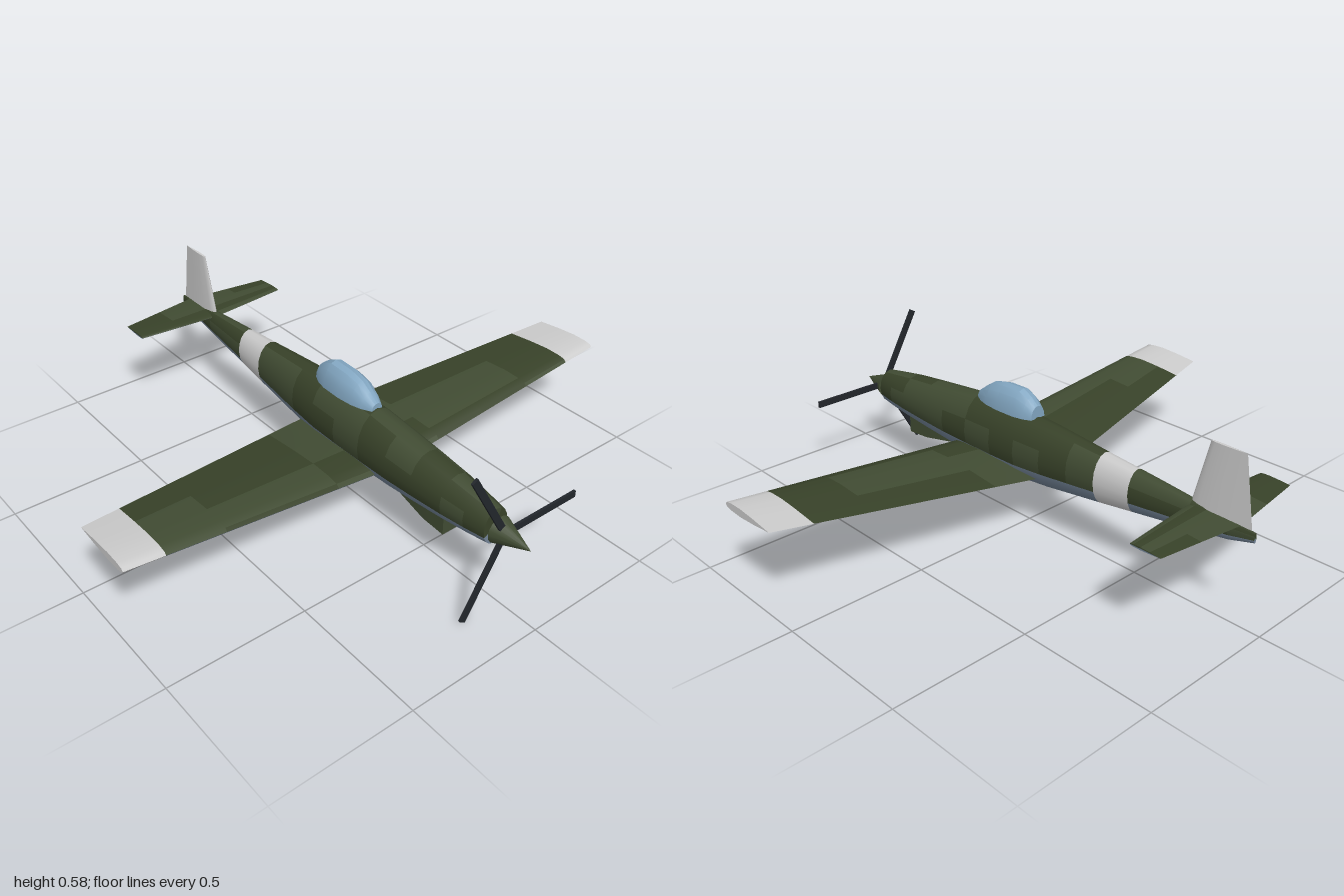
import * as THREE from 'three';
import { toCreasedNormals } from 'three/addons/utils/BufferGeometryUtils.js';

const PALETTE = [0x414c33, 0x384229, 0x728396, 0xd2d2d2];
const GREEN = 0, DARK = 1, BELLY = 2, WHITE = 3;

const paint = (color, extra = {}) => new THREE.MeshStandardMaterial({ color, ...extra });

// Repeatable choice between the two camouflage greens
function camo(a, b) {
  const s = Math.sin(a * 12.99 + b * 78.23) * 4375.85;
  return s - Math.floor(s) > 0.5 ? GREEN : DARK;
}

// Skins closed rings of points; colorOf(i, j) picks the paint of each panel, caps close both ends
function loft(name, rings, materials, colorOf = () => 0, crease = 0.7) {
  const n = rings[0].length, last = rings.length - 1;
  const points = rings.flat();
  const buckets = materials.map(() => []);
  for (let i = 0; i < last; i++) {
    for (let j = 0; j < n; j++) {
      const a = i * n + j, b = i * n + (j + 1) % n;
      buckets[colorOf(i, j)].push(a, a + n, b, b, a + n, b + n);
    }
  }
  for (const i of [0, last]) {
    const c = points.length;
    const mid = rings[i].reduce((s, p) => s.map((v, k) => v + p[k] / n), [0, 0, 0]);
    points.push(mid);
    for (let j = 0; j < n; j++) {
      const a = i * n + j, b = i * n + (j + 1) % n;
      buckets[colorOf(Math.min(i, last - 1), j)].push(c, ...(i === 0 ? [a, b] : [b, a]));
    }
  }
  const geometry = new THREE.BufferGeometry();
  geometry.setAttribute('position', new THREE.Float32BufferAttribute(points.flat(), 3));
  geometry.setIndex(buckets.flat());
  let start = 0;
  buckets.forEach((b, m) => {
    if (b.length) geometry.addGroup(start, b.length, m);
    start += b.length;
  });
  const mesh = new THREE.Mesh(toCreasedNormals(geometry, crease), materials);
  mesh.name = name;
  return mesh;
}

// Symmetric airfoil as [z, thickness offset], over the first side and back along the second
function airfoil(front, back, thickness) {
  const side = [[0.03, 0.28], [0.13, 0.44], [0.35, 0.5], [0.65, 0.32]];
  const at = (f, h) => [front + (back - front) * f, h * thickness];
  return [
    at(0, 0), ...side.map(([f, h]) => at(f, h)),
    at(1, 0), ...side.map(([f, h]) => at(f, -h)).reverse(),
  ];
}

// Mirrored span of airfoils; each station is [x, y, front z, back z, thickness] for the +x half
function span(name, half, materials, colorOf) {
  const mirrored = half.slice(1).reverse().map(([x, ...rest]) => [-x, ...rest]);
  const rings = [...mirrored, ...half].map(([x, y, f, b, t]) =>
    airfoil(f, b, t).map(([z, h]) => [x, y + h, z]));
  return loft(name, rings, materials, colorOf);
}

export function createModel() {
  const model = new THREE.Group();
  model.name = 'propellerAircraft';
  const paints = PALETTE.map((c) => paint(c));

  // Fuselage stations: z, bottom, top, half width
  const stations = [
    [0.80, 0.217, 0.350, 0.050], [0.72, 0.208, 0.363, 0.062], [0.63, 0.200, 0.377, 0.073],
    [0.50, 0.188, 0.392, 0.081], [0.38, 0.178, 0.405, 0.086], [0.25, 0.171, 0.419, 0.088],
    [0.12, 0.168, 0.423, 0.088], [0.00, 0.170, 0.421, 0.086], [-0.12, 0.181, 0.414, 0.078],
    [-0.24, 0.197, 0.405, 0.068], [-0.355, 0.212, 0.396, 0.058], [-0.495, 0.232, 0.386, 0.047],
    [-0.60, 0.247, 0.378, 0.039], [-0.72, 0.263, 0.368, 0.029], [-0.86, 0.285, 0.355, 0.016],
    [-0.95, 0.310, 0.345, 0.006],
  ];
  const sides = 16;
  const hull = stations.map(([z, lo, hi, w]) =>
    Array.from({ length: sides }, (_, k) => {
      const a = ((k - 1) / sides) * Math.PI * 2;
      return [w * Math.cos(a), (lo + hi) / 2 + ((hi - lo) / 2) * Math.sin(a), z];
    }));
  model.add(loft('fuselage', hull, paints, (i, j) => {
    if (i === 10) return WHITE;
    return j < 10 ? camo(i, Math.floor(j / 2)) : BELLY;
  }));

  // Wing with upswept halves and pale tips
  const wing = [0, 0.22, 0.43, 0.65, 0.86, 1].map((x) =>
    [x, 0.215 + 0.105 * x, 0.32, -0.105 + 0.175 * x, 0.048 - 0.018 * x]);
  model.add(span('wing', wing, paints, (i, j) => {
    if (i === 0 || i === 9) return WHITE;
    return j < 5 ? camo(Math.floor(i / 2) + 3, j) : BELLY;
  }));

  // Tailplane
  const tail = [[0, 0.35, -0.71, -0.90, 0.014], [0.16, 0.35, -0.725, -0.877, 0.012],
    [0.315, 0.35, -0.74, -0.855, 0.010]];
  model.add(span('tailplane', tail, paints, (i, j) => (j < 5 ? camo(i + 7, j) : BELLY)));

  // Tail fin
  const fin = [[0.345, -0.708, -0.937, 0.022], [0.583, -0.768, -0.897, 0.010]].map(([y, f, b, t]) =>
    airfoil(f, b, t).map(([z, h]) => [-h, y, z]));
  model.add(loft('tailFin', fin, [paints[WHITE]]));

  // Canopy hoops: z, half width, height
  const hoops = [[0.245, 0.022, 0.024], [0.21, 0.040, 0.050], [0.17, 0.051, 0.075], [0.11, 0.057, 0.088],
    [0.03, 0.055, 0.090], [-0.01, 0.046, 0.070], [-0.04, 0.032, 0.046]];
  const dome = hoops.map(([z, w, h]) =>
    Array.from({ length: 9 }, (_, k) => {
      const a = (k / 8) * Math.PI;
      return [w * Math.cos(a), 0.414 + h * Math.sin(a), z];
    }));
  model.add(loft('canopy', dome, [paint(0x82a6c1)], () => 0, 0.4));

  // Chin intake tapering back into the belly: z, bottom, top, half width
  const scoop = [[0.625, 0.155, 0.225, 0.044], [0.53, 0.161, 0.225, 0.043], [0.40, 0.182, 0.225, 0.030]]
    .map(([z, lo, hi, w]) => [[w, lo, z], [w, hi, z], [-w, hi, z], [-w, lo, z]]);
  model.add(loft('chinIntake', scoop, [paints[GREEN]]));

  // Propeller: spinner and three blades
  const propeller = new THREE.Group();
  propeller.name = 'propeller';
  propeller.position.set(0, 0.28, 0.84);
  const spinner = new THREE.Mesh(new THREE.ConeGeometry(0.048, 0.13, 16).rotateX(Math.PI / 2), paints[GREEN]);
  spinner.name = 'spinner';
  spinner.position.z = 0.04;
  propeller.add(spinner);
  const bladeShape = new THREE.BoxGeometry(0.312, 0.024, 0.009).translate(0.156, 0, 0);
  const bladePaint = paint(0x22262b);
  for (let k = 0; k < 3; k++) {
    const blade = new THREE.Mesh(bladeShape, bladePaint);
    blade.name = 'propellerBlade';
    blade.rotation.z = (k * Math.PI * 2) / 3;
    propeller.add(blade);
  }
  model.add(propeller);
  return model;
}
